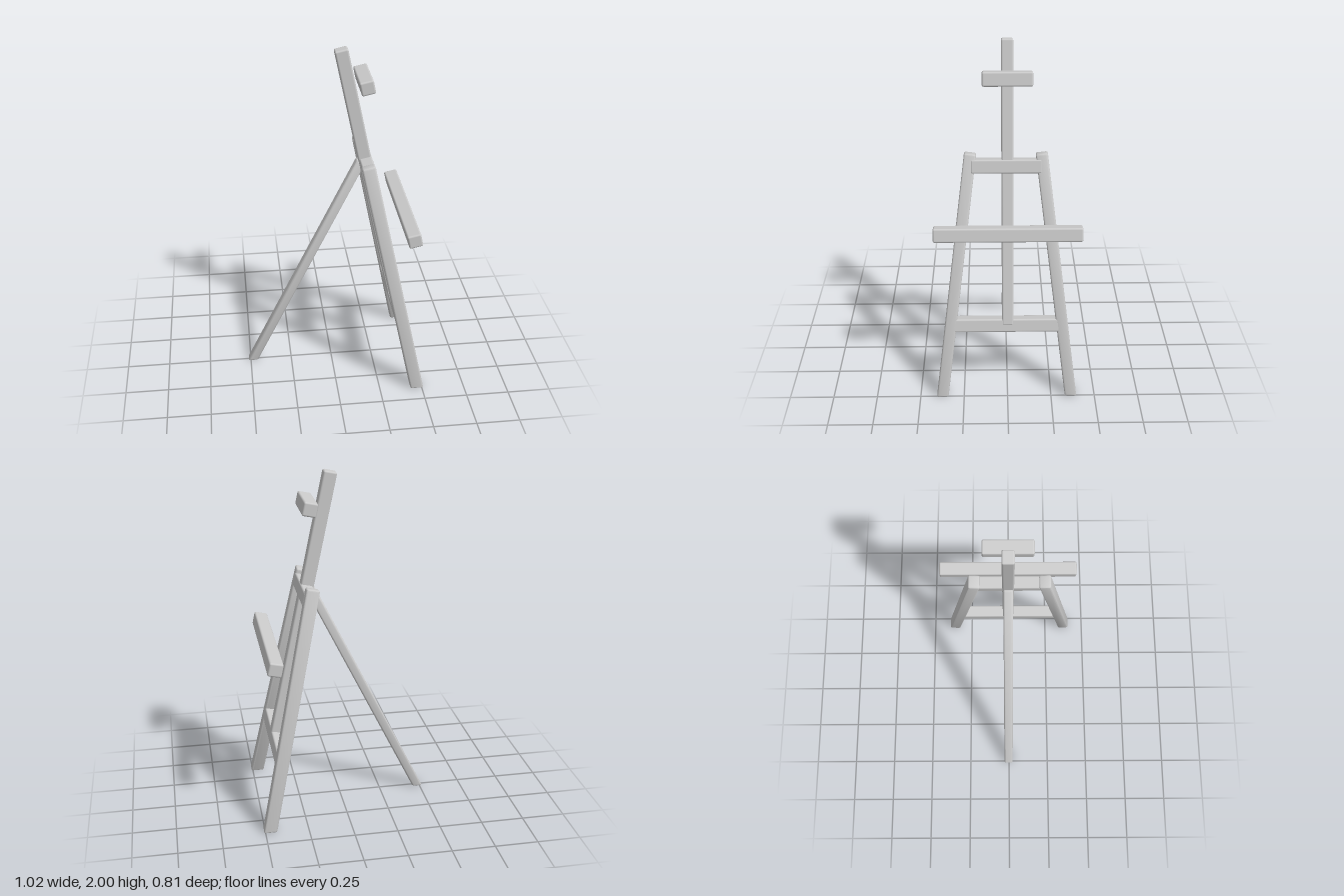
import * as THREE from 'three';
import { RoundedBoxGeometry } from 'three/addons/geometries/RoundedBoxGeometry.js';
import { toCreasedNormals } from 'three/addons/utils/BufferGeometryUtils.js';

const TILT = 0.21; // backward lean of the easel frame
const BEVEL = 0.01;
const material = new THREE.MeshStandardMaterial({ color: 0xcccccc });

// Bevelled beam between two points; footCut trims the lower end level with the ground.
function beam(name, from, to, depth, width, footCut = false) {
  const a = new THREE.Vector3(...from);
  const b = new THREE.Vector3(...to);
  const axis = b.clone().sub(a);
  const length = axis.length();
  axis.normalize();
  const q = new THREE.Quaternion().setFromUnitVectors(new THREE.Vector3(0, 1, 0), axis);
  let geometry = new RoundedBoxGeometry(depth, length, width, 2, BEVEL);
  if (footCut) {
    const xRise = new THREE.Vector3(1, 0, 0).applyQuaternion(q).y;
    const zRise = new THREE.Vector3(0, 0, 1).applyQuaternion(q).y;
    const p = geometry.attributes.position;
    for (let i = 0; i < p.count; i++) {
      if (p.getY(i) < 0) {
        p.setY(i, p.getY(i) - (p.getX(i) * xRise + p.getZ(i) * zRise) / axis.y);
      }
    }
    geometry = toCreasedNormals(geometry, 0.6);
  }
  const mesh = new THREE.Mesh(geometry, material);
  mesh.name = name;
  mesh.quaternion.copy(q);
  mesh.position.copy(a).add(b).multiplyScalar(0.5);
  return mesh;
}

// Horizontal bar across the easel, leaning with the frame.
function bar(name, x, y, z, depth, height, length) {
  const mesh = new THREE.Mesh(new RoundedBoxGeometry(depth, height, length, 2, BEVEL), material);
  mesh.name = name;
  mesh.position.set(x, y, z);
  mesh.rotation.z = TILT;
  return mesh;
}

export function createModel() {
  const easel = new THREE.Group();
  easel.name = 'easel';

  // Pair of splayed front legs
  for (const s of [-1, 1]) {
    easel.add(beam(s > 0 ? 'leftLeg' : 'rightLeg',
      [0.471, 0, 0.005 + s * 0.368], [0.182, 1.387, 0.005 + s * 0.195], 0.075, 0.066, true));
  }

  // Central mast and the rear prop leg
  easel.add(beam('mast', [0.385, 0.42, -0.003], [0.053, 1.992, -0.003], 0.075, 0.066));
  easel.add(beam('rearLeg', [-0.486, 0, -0.003], [0.17, 1.33, -0.003], 0.053, 0.054, true));

  // Cross rails joining the legs
  easel.add(bar('upperRail', 0.2, 1.32, 0.003, 0.072, 0.078, 0.39));
  easel.add(bar('lowerRail', 0.385, 0.418, 0.003, 0.072, 0.078, 0.62));

  // Canvas ledge and top clamp standing in front of the frame
  easel.add(bar('canvasLedge', 0.42, 1.015, -0.003, 0.078, 0.078, 0.81));
  easel.add(bar('topClamp', 0.183, 1.812, -0.003, 0.078, 0.078, 0.27));

  return easel;
}
